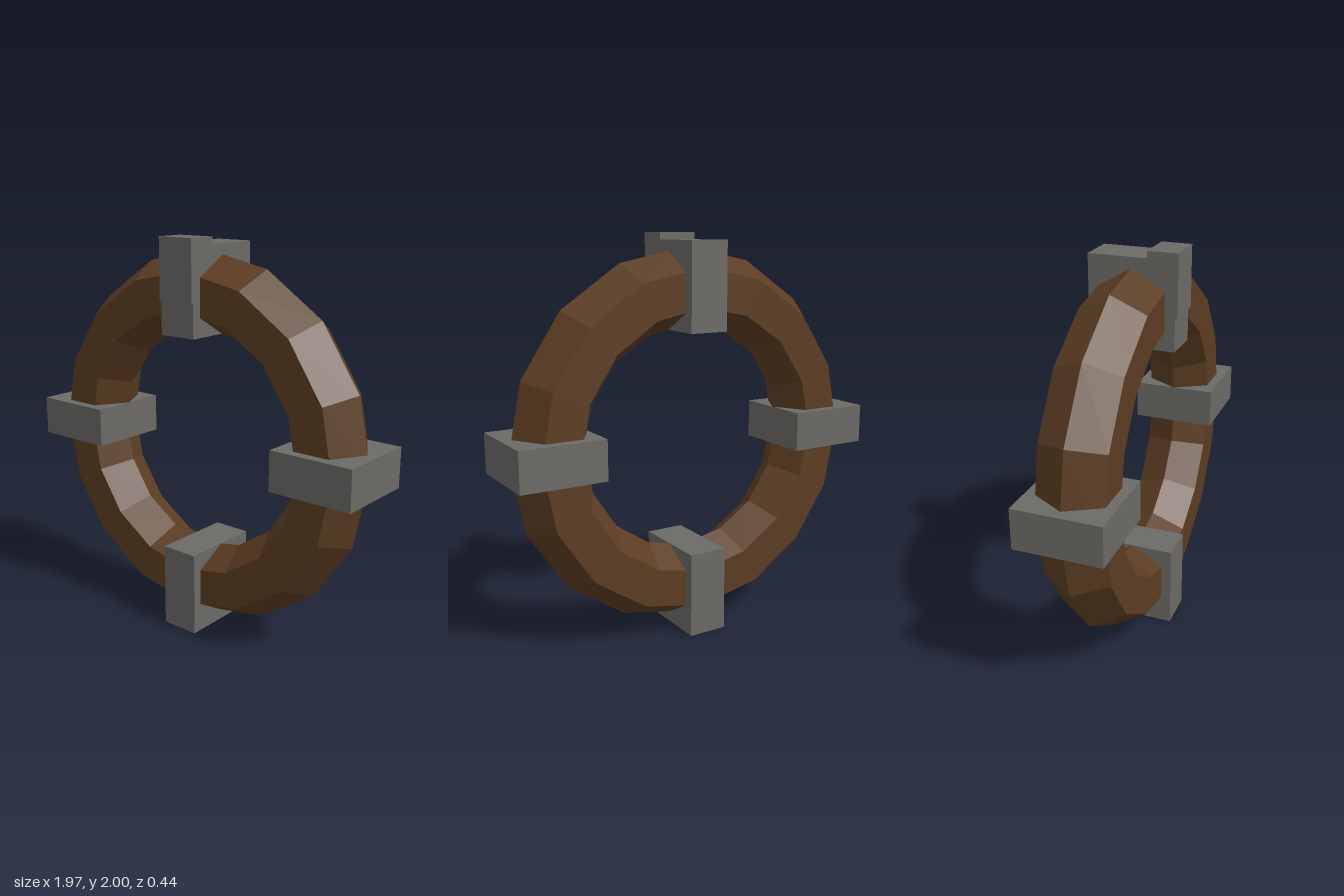
import * as THREE from 'three';

export function createModel() {
  const model = new THREE.Group();
  model.name = 'clampedRing';
  const wood = new THREE.MeshStandardMaterial({ name: 'brown wood', color: 0x5c3d22, flatShading: true });
  const stone = new THREE.MeshStandardMaterial({ name: 'grey metal', color: 0x6b6a66, flatShading: true });

  const centre = new THREE.Group();
  centre.name = 'ringAssembly';
  centre.position.set(0, 0.983, -0.005);
  model.add(centre);

  // Faceted wooden ring: hexagonal section, sixteen segments
  const ring = new THREE.Mesh(new THREE.TorusGeometry(0.76, 0.19, 6, 16), wood);
  ring.name = 'ring';
  centre.add(ring);

  // Four clamps around the ring
  ['leftClamp', 'topClamp', 'rightClamp', 'bottomClamp'].forEach((name, i) => {
    const angle = (i * Math.PI) / 2;
    const clamp = new THREE.Mesh(new THREE.BoxGeometry(0.432, 0.2, 0.43), stone);
    clamp.name = name;
    clamp.position.set(0.767 * Math.cos(angle), 0.767 * Math.sin(angle), 0);
    clamp.rotation.z = angle;
    centre.add(clamp);
  });

  // Small block on the front of the top clamp
  const block = new THREE.Mesh(new THREE.BoxGeometry(0.2, 0.3, 0.15), stone);
  block.name = 'topBlock';
  block.position.set(0, 1.85, 0.147);
  model.add(block);

  return model;
}
